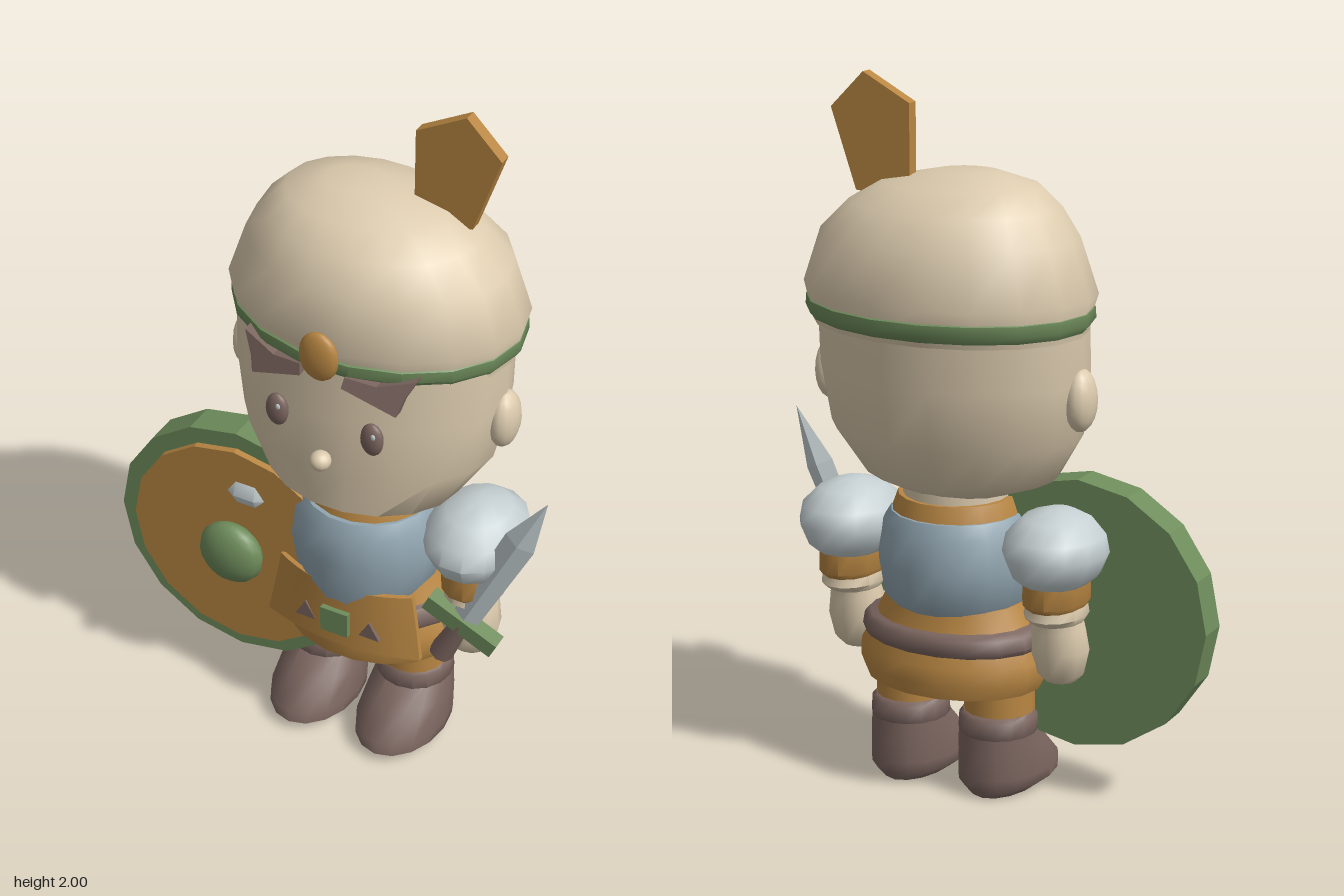
import * as THREE from 'three';
import { toCreasedNormals } from 'three/addons/utils/BufferGeometryUtils.js';

const mat = (name, color) => {
  const m = new THREE.MeshStandardMaterial({ color });
  m.name = name;
  return m;
};

// The figure is symmetric about this x; the shield shifts it off centre
const CX = 0.06;

// Closed loft through oval rings: [y, half width, back z, front z, centre x]
function loft(rings, seg = 18) {
  const pos = [], idx = [];
  for (const [y, rx, z0, z1, cx = 0] of rings) {
    for (let j = 0; j < seg; j++) {
      const a = (j / seg) * Math.PI * 2;
      pos.push(cx + rx * Math.cos(a), y, (z0 + z1) / 2 + ((z1 - z0) / 2) * Math.sin(a));
    }
  }
  const n = rings.length;
  for (let i = 0; i < n - 1; i++) {
    for (let j = 0; j < seg; j++) {
      const k = (j + 1) % seg, a = i * seg + j, c = i * seg + k;
      idx.push(a, a + seg, c, a + seg, c + seg, c);
    }
  }
  const cap = (r) => {
    const [y, , z0, z1, cx = 0] = rings[r];
    pos.push(cx, y, (z0 + z1) / 2);
    return pos.length / 3 - 1;
  };
  const bottom = cap(0), top = cap(n - 1);
  for (let j = 0; j < seg; j++) {
    const k = (j + 1) % seg, o = (n - 1) * seg;
    idx.push(bottom, j, k, top, o + k, o + j);
  }
  const g = new THREE.BufferGeometry();
  g.setAttribute('position', new THREE.Float32BufferAttribute(pos, 3));
  g.setIndex(idx);
  return toCreasedNormals(g, 0.85);
}

const ellipsoid = (rx, ry, rz, w = 14, h = 10) => new THREE.SphereGeometry(1, w, h).scale(rx, ry, rz);

function plate(points, depth) {
  const shape = new THREE.Shape(points.map(([x, y]) => new THREE.Vector2(x, y)));
  return new THREE.ExtrudeGeometry(shape, { depth, bevelEnabled: false });
}

export function createModel() {
  const model = new THREE.Group();
  const skin = mat('beige', 0xdccbae);
  const tan = mat('ochre', 0xb98743);
  const green = mat('moss green', 0x6f8d5c);
  const blue = mat('blue grey', 0x91a5b0);
  const silver = mat('silver', 0xc5cfd1);
  const brown = mat('brown', 0x7b655f);

  const add = (parent, name, geo, material, x = 0, y = 0, z = 0) => {
    const m = new THREE.Mesh(geo, material);
    m.name = name;
    m.position.set(x, y, z);
    parent.add(m);
    return m;
  };
  const body = new THREE.Group();
  body.name = 'figure';
  body.position.x = CX;
  model.add(body);

  // Head and face
  add(body, 'head', loft([
    [0.86, 0.17, -0.11, 0.21], [0.9, 0.28, -0.18, 0.275], [1.03, 0.365, -0.25, 0.285],
    [1.2, 0.39, -0.275, 0.285], [1.38, 0.39, -0.28, 0.27],
  ]), skin);
  add(body, 'nose', ellipsoid(0.03, 0.028, 0.03), skin, 0, 1.08, 0.305);

  // Cap with band, gem and feather
  add(body, 'cap', loft([
    [1.33, 0.395, -0.31, 0.265], [1.37, 0.4, -0.325, 0.275], [1.43, 0.418, -0.335, 0.295],
    [1.58, 0.365, -0.305, 0.265, 0], [1.66, 0.3, -0.25, 0.215, -0.015],
    [1.715, 0.225, -0.185, 0.15, -0.035], [1.75, 0.09, -0.08, 0.05, -0.06],
  ]), skin);
  add(body, 'capBand', loft([
    [1.345, 0.398, -0.318, 0.272], [1.365, 0.412, -0.336, 0.292], [1.395, 0.41, -0.334, 0.29],
    [1.405, 0.395, -0.32, 0.275],
  ]), green);
  add(body, 'capGem', ellipsoid(0.057, 0.073, 0.025), tan, 0, 1.42, 0.31);
  add(body, 'feather', plate([[0.09, 1.67], [0.255, 1.68], [0.33, 1.9], [0.23, 2], [0.09, 1.925]], 0.036), tan, 0, 0, -0.075);

  // Neck and collar
  add(body, 'neck', new THREE.CylinderGeometry(0.15, 0.15, 0.1, 18), skin, 0, 0.83, 0.02);
  add(body, 'shirt', loft([
    [0.5, 0.19, -0.16, 0.19], [0.7, 0.2, -0.17, 0.2], [0.79, 0.185, -0.16, 0.195], [0.845, 0.165, -0.14, 0.175],
  ]), tan);

  // Breastplate, belt and skirt
  add(body, 'breastplate', loft([
    [0.5, 0.165, -0.13, 0.215], [0.56, 0.205, -0.185, 0.23], [0.66, 0.225, -0.193, 0.235],
    [0.76, 0.21, -0.185, 0.23], [0.8, 0.185, -0.165, 0.205],
  ]), blue);
  add(body, 'skirt', loft([
    [0.31, 0.26, -0.195, 0.205], [0.35, 0.28, -0.203, 0.212], [0.4, 0.278, -0.2, 0.208],
    [0.46, 0.245, -0.175, 0.185], [0.55, 0.2, -0.16, 0.17],
  ]), tan);
  add(body, 'belt', loft([
    [0.43, 0.262, -0.19, 0.195], [0.445, 0.272, -0.2, 0.203], [0.48, 0.265, -0.198, 0.2], [0.493, 0.25, -0.185, 0.19],
  ]), brown);

  // Curved apron lying over the belt
  const apron = new THREE.BoxGeometry(2, 1, 0.015, 12, 2, 1);
  const p = apron.attributes.position;
  for (let i = 0; i < p.count; i++) {
    const t = 0.5 - p.getY(i);
    const x = p.getX(i) * (0.205 + 0.035 * t);
    p.setXYZ(i, x, 0.575 - 0.205 * t, p.getZ(i) + 0.212 - (1.35 - 0.6 * t) * x * x);
  }
  add(body, 'apron', toCreasedNormals(apron, 0.6), tan);
  add(body, 'buckle', new THREE.BoxGeometry(0.085, 0.08, 0.025), green, 0, 0.457, 0.222);

  // Paired parts, mirrored about the figure's centre line
  for (const s of [1, -1]) {
    add(body, 'eye', ellipsoid(0.033, 0.05, 0.02), brown, s * 0.14, 1.185, 0.282);
    add(body, 'eyeHighlight', ellipsoid(0.007, 0.009, 0.004, 8, 6), silver, s * 0.14 + 0.012, 1.207, 0.3);
    add(body, 'ear', ellipsoid(0.042, 0.087, 0.06), skin, s * 0.385, 1.155, 0);

    // Brow, slanted to follow the forehead
    const outline = [[0.06, 1.335], [0.21, 1.285], [0.22, 1.325], [0.25, 1.385], [0.15, 1.355], [0.065, 1.365]];
    const brow = plate(outline.map(([x, y]) => [s * x, y]), 0.03);
    const b = brow.attributes.position;
    for (let i = 0; i < b.count; i++) {
      b.setZ(i, b.getZ(i) + 0.275 - 0.2 * (Math.abs(b.getX(i)) - 0.06) - 0.3 * (b.getY(i) - 1.33));
    }
    brow.computeVertexNormals();
    add(body, 'brow', brow, brown);

    // Stud on the apron
    add(body, 'apronStud', plate([[s * 0.1 - 0.032, 0.425], [s * 0.1 + 0.032, 0.425], [s * 0.1, 0.48]], 0.02), brown, 0, 0, 0.196);

    // Arm
    const arm = new THREE.Group();
    arm.name = s > 0 ? 'leftArm' : 'rightArm';
    arm.position.x = s * 0.32;
    body.add(arm);
    add(arm, 'shoulderGuard', loft([
      [0.64, 0.085, -0.12, 0.11], [0.67, 0.12, -0.155, 0.145], [0.73, 0.145, -0.18, 0.175],
      [0.78, 0.135, -0.165, 0.155], [0.825, 0.09, -0.11, 0.1], [0.847, 0.03, -0.04, 0.03],
    ], 14), silver);
    add(arm, 'sleeve', loft([[0.575, 0.08, -0.115, 0.115], [0.59, 0.088, -0.13, 0.13], [0.66, 0.088, -0.13, 0.13]], 14), tan);
    add(arm, 'wristBand', loft([[0.53, 0.075, -0.09, 0.09], [0.55, 0.086, -0.115, 0.11], [0.58, 0.08, -0.11, 0.105]], 14), skin);
    add(arm, 'hand', loft([
      [0.345, 0.045, -0.02, 0.06], [0.37, 0.07, -0.045, 0.085], [0.44, 0.085, -0.065, 0.105],
      [0.5, 0.075, -0.065, 0.09], [0.54, 0.065, -0.07, 0.08],
    ], 12), skin);

    // Leg and boot
    const leg = new THREE.Group();
    leg.name = s > 0 ? 'leftLeg' : 'rightLeg';
    leg.position.x = s * 0.14;
    body.add(leg);
    add(leg, 'trouser', new THREE.CylinderGeometry(0.1, 0.1, 0.18, 16), tan, 0, 0.29, 0.005);
    add(leg, 'boot', loft([
      [0, 0.09, -0.1, 0.22], [0.03, 0.128, -0.122, 0.252], [0.06, 0.13, -0.122, 0.245],
      [0.13, 0.12, -0.12, 0.165], [0.19, 0.108, -0.112, 0.1],
    ], 16), brown);
    add(leg, 'bootCuff', loft([[0.17, 0.104, -0.108, 0.105], [0.18, 0.112, -0.116, 0.115], [0.225, 0.11, -0.112, 0.112], [0.237, 0.1, -0.1, 0.1]], 16), brown);
  }

  // Round shield on the right arm
  const shield = new THREE.Group();
  shield.name = 'shield';
  shield.position.set(-0.295, 0.535, 0);
  model.add(shield);
  const disc = (r, d) => toCreasedNormals(new THREE.CylinderGeometry(r, r, d, 16).rotateX(Math.PI / 2), 0.2);
  add(shield, 'shieldRim', disc(0.385, 0.095), green, -0.003, 0, 0.0875);
  add(shield, 'shieldFace', disc(0.335, 0.03), tan, 0, 0, 0.14);
  add(shield, 'shieldBoss', ellipsoid(0.1, 0.1, 0.052), green, 0, 0, 0.184);

  // Sword in the left hand
  const sword = new THREE.Group();
  sword.name = 'sword';
  sword.position.set(0.39, 0.49, 0.097);
  sword.rotation.z = -0.43;
  model.add(sword);
  const blade = new THREE.CylinderGeometry(1, 0.85, 0.38, 4, 1, true).scale(0.046, 1, 0.02);
  const tip = new THREE.CylinderGeometry(0, 1, 0.18, 4, 1, true).scale(0.046, 1, 0.02);
  const sharp = (g) => toCreasedNormals(g, 0.1);
  add(sword, 'blade', sharp(blade), silver, 0, 0.19, 0);
  add(sword, 'bladeTip', sharp(tip), silver, 0, 0.47, 0);
  add(sword, 'crossGuard', new THREE.BoxGeometry(0.23, 0.05, 0.05), green);
  add(sword, 'grip', new THREE.CylinderGeometry(0.026, 0.036, 0.15, 8), brown, 0, -0.075, 0);

  return model;
}
